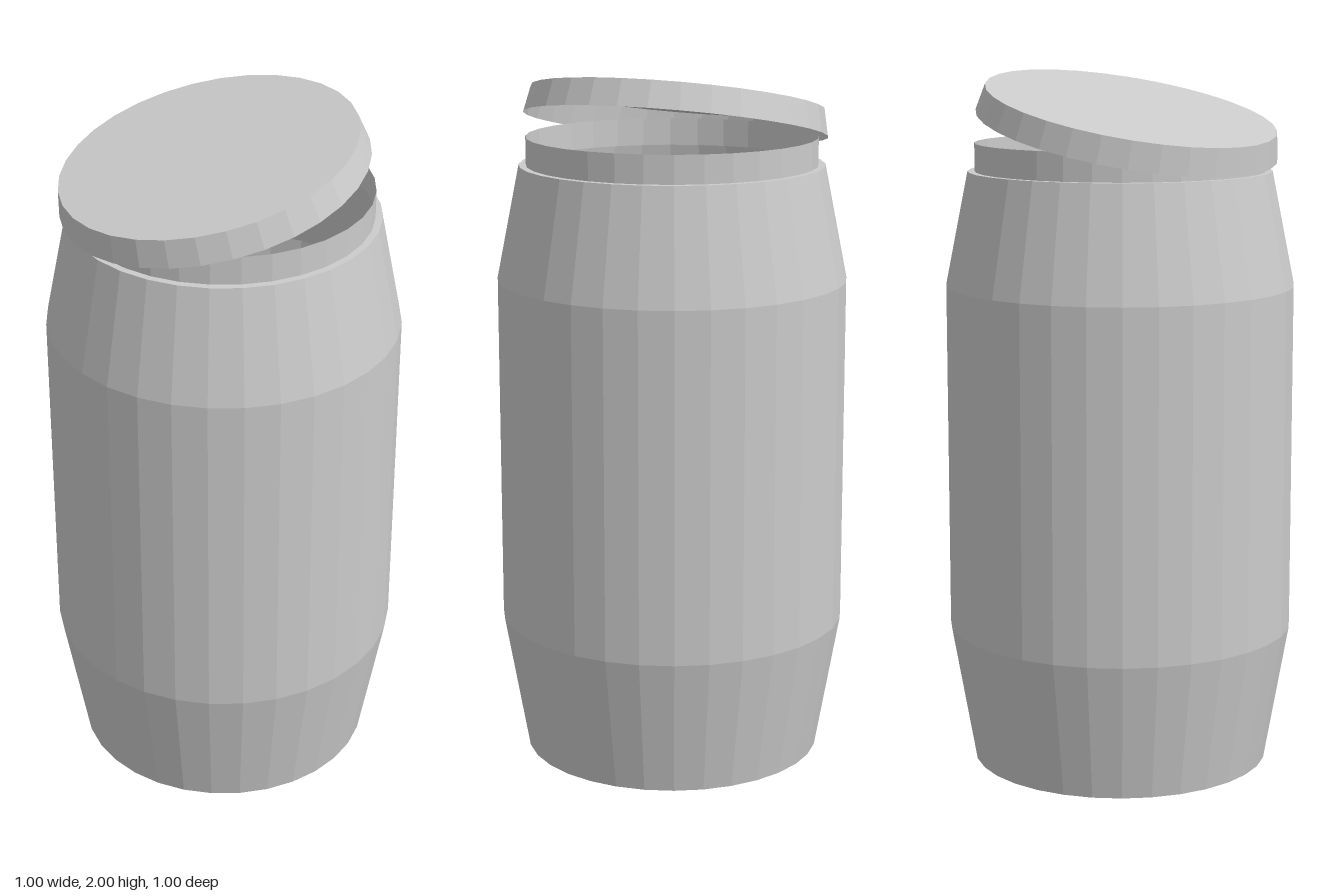
import * as THREE from 'three';

const SIDES = 32;

// Thin faceted shell turned around the y axis from [radius, height] pairs
function turned(name, profile) {
  const points = profile.map(([r, y]) => new THREE.Vector2(r, y));
  const material = new THREE.MeshStandardMaterial({
    color: 0xcccccc, flatShading: true, side: THREE.DoubleSide,
  });
  const mesh = new THREE.Mesh(new THREE.LatheGeometry(points, SIDES), material);
  mesh.name = name;
  return mesh;
}

export function createModel() {
  const jar = new THREE.Group();
  jar.name = 'jar';

  // Hollow body: closed base, tapered foot, straight wall, tapered shoulder, ledge
  jar.add(turned('body', [
    [0, 0], [0.43, 0], [0.5, 0.4], [0.5, 1.4], [0.435, 1.725], [0.415, 1.725],
  ]));

  // Open neck above the ledge
  jar.add(turned('neck', [[0.415, 1.725], [0.415, 1.805]]));

  // Tilted lid, open underneath, resting on the right edge of the neck
  const lid = turned('lid', [[0.434, 0], [0.418, 0.077], [0, 0.077]]);
  lid.position.set(-0.0275, 1.831, 0);
  lid.rotation.z = THREE.MathUtils.degToRad(13);
  jar.add(lid);

  return jar;
}
